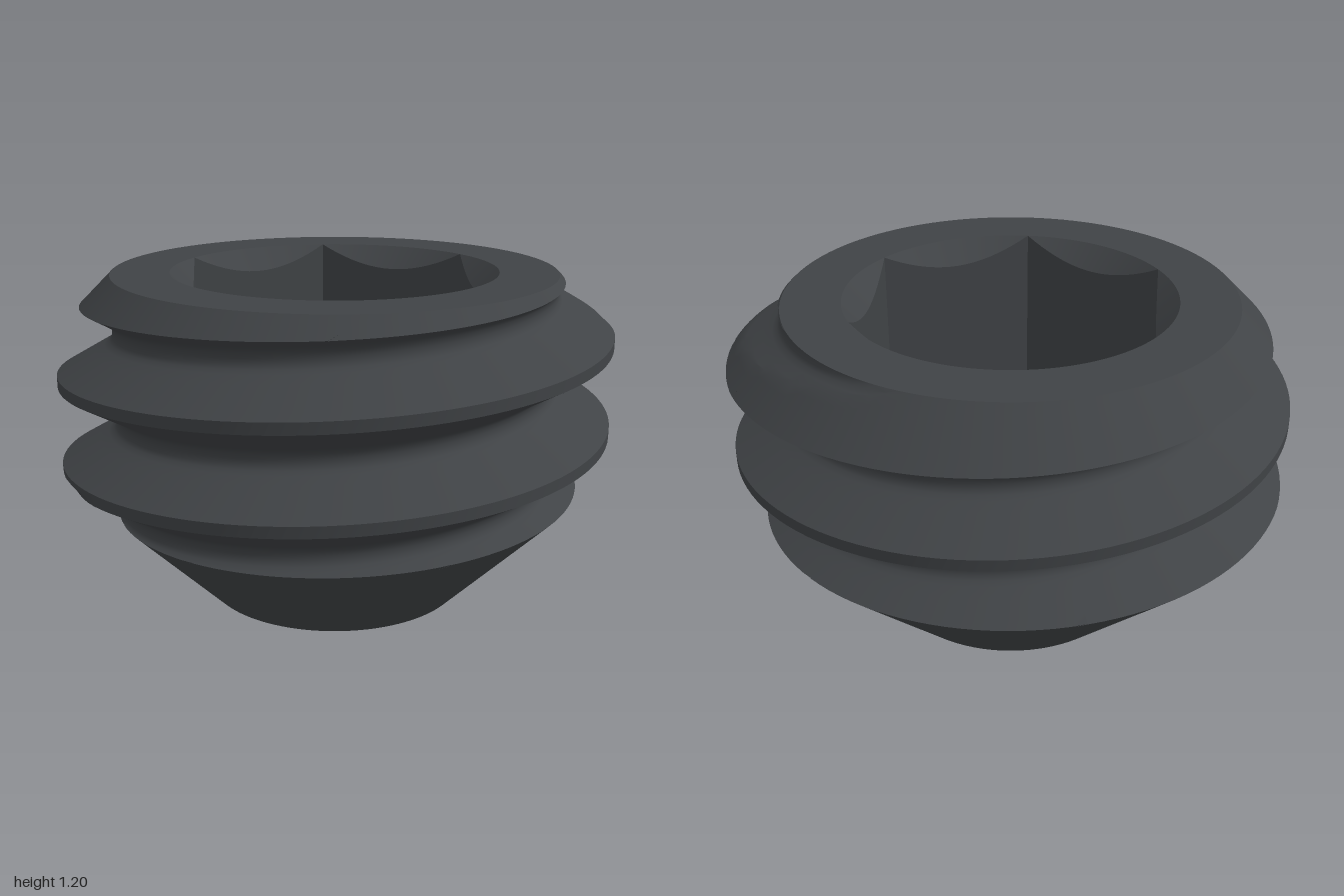
import * as THREE from 'three';
import { toCreasedNormals } from 'three/addons/utils/BufferGeometryUtils.js';

const HEIGHT = 1.2, PITCH = 0.323, CREST_Y = 0.645, SEGMENTS = 120;
const TIP_R = 0.48, ROOT_R = 0.8, SOCKET_R = 0.59, SOCKET_FLOOR = 0.58;
const material = new THREE.MeshStandardMaterial({ color: 0x404346 });

// Sweeps a profile around the y axis; column(angle) returns [radius, y] points
// ordered so that the visible side lies to the right of the path.
function sweep(name, column) {
  const columns = [];
  for (let j = 0; j <= SEGMENTS; j++) {
    const a = (j / SEGMENTS) * Math.PI * 2;
    columns.push(column(a).map(([r, y]) =>
      new THREE.Vector3(r * Math.cos(a), y, -r * Math.sin(a))));
  }
  const positions = [];
  const addTriangle = (a, b, c) => {
    if (new THREE.Triangle(a, b, c).getArea() < 1e-8) return;
    for (const p of [a, b, c]) positions.push(p.x, p.y, p.z);
  };
  for (let j = 0; j < SEGMENTS; j++) {
    const p = columns[j], q = columns[j + 1];
    for (let i = 0; i < p.length - 1; i++) {
      addTriangle(p[i], q[i], q[i + 1]);
      addTriangle(p[i], q[i + 1], p[i + 1]);
    }
  }
  const geometry = new THREE.BufferGeometry();
  geometry.setAttribute('position', new THREE.Float32BufferAttribute(positions, 3));
  const mesh = new THREE.Mesh(toCreasedNormals(geometry, 0.5), material);
  mesh.name = name;
  return mesh;
}

// Half of one thread turn, from crest to root: [radius, height above crest]
const halfThread = [[1, 0], [1, 0.02]];
for (let i = 1; i <= 5; i++) halfThread.push([1 - 0.034 * i, 0.02 + 0.0196 * i]);
halfThread.push([0.812, 0.13], [0.803, 0.143], [ROOT_R, PITCH / 2]);
const lowerHalf = halfThread.slice(1).reverse().map(([r, y]) => [r, -y]);
const threadTurn = [...lowerHalf, ...halfThread.slice(0, -1)];

// 45 degree cones that cut the thread at the tip and at the top
const coneRadius = (y) => Math.min(TIP_R + y, ROOT_R + HEIGHT - y);

function threadColumn(angle) {
  const points = [];
  for (let turn = -4; turn <= 3; turn++) {
    const base = CREST_Y + PITCH * (turn + angle / (Math.PI * 2));
    for (const [r, y] of threadTurn) {
      points.push([r, THREE.MathUtils.clamp(base + y, 0, HEIGHT)]);
    }
  }
  const room = points.map(([r, y]) => coneRadius(y) - r);
  return points.map(([r, y], i) => {
    if (room[i] >= 0) return [r, y];
    // slide the first cut point onto the exact edge between thread and cone
    for (const n of [i - 1, i + 1]) {
      if (room[n] > 1e-6 && y > 0 && y < HEIGHT) {
        const t = room[n] / (room[n] - room[i]);
        y = THREE.MathUtils.lerp(points[n][1], y, t);
        break;
      }
    }
    return [coneRadius(y), y];
  });
}

// Hexagonal socket with a 45 degree conical lead-in
function socketColumn(angle) {
  const sector = Math.PI / 3;
  const offset = (angle % sector) - sector / 2;
  const r = SOCKET_R * Math.cos(sector / 2) / Math.cos(offset);
  return [
    [SOCKET_R, HEIGHT],
    [r, HEIGHT - (SOCKET_R - r)],
    [r, SOCKET_FLOOR],
    [0, SOCKET_FLOOR],
  ];
}

export function createModel() {
  const group = new THREE.Group();
  group.name = 'setScrew';
  group.add(
    sweep('threadedBody', threadColumn),
    sweep('topFace', () => [[ROOT_R, HEIGHT], [SOCKET_R, HEIGHT]]),
    sweep('hexSocket', socketColumn),
    sweep('cupPoint', () => [[0, 0.28], [TIP_R, 0]]),
  );
  return group;
}
